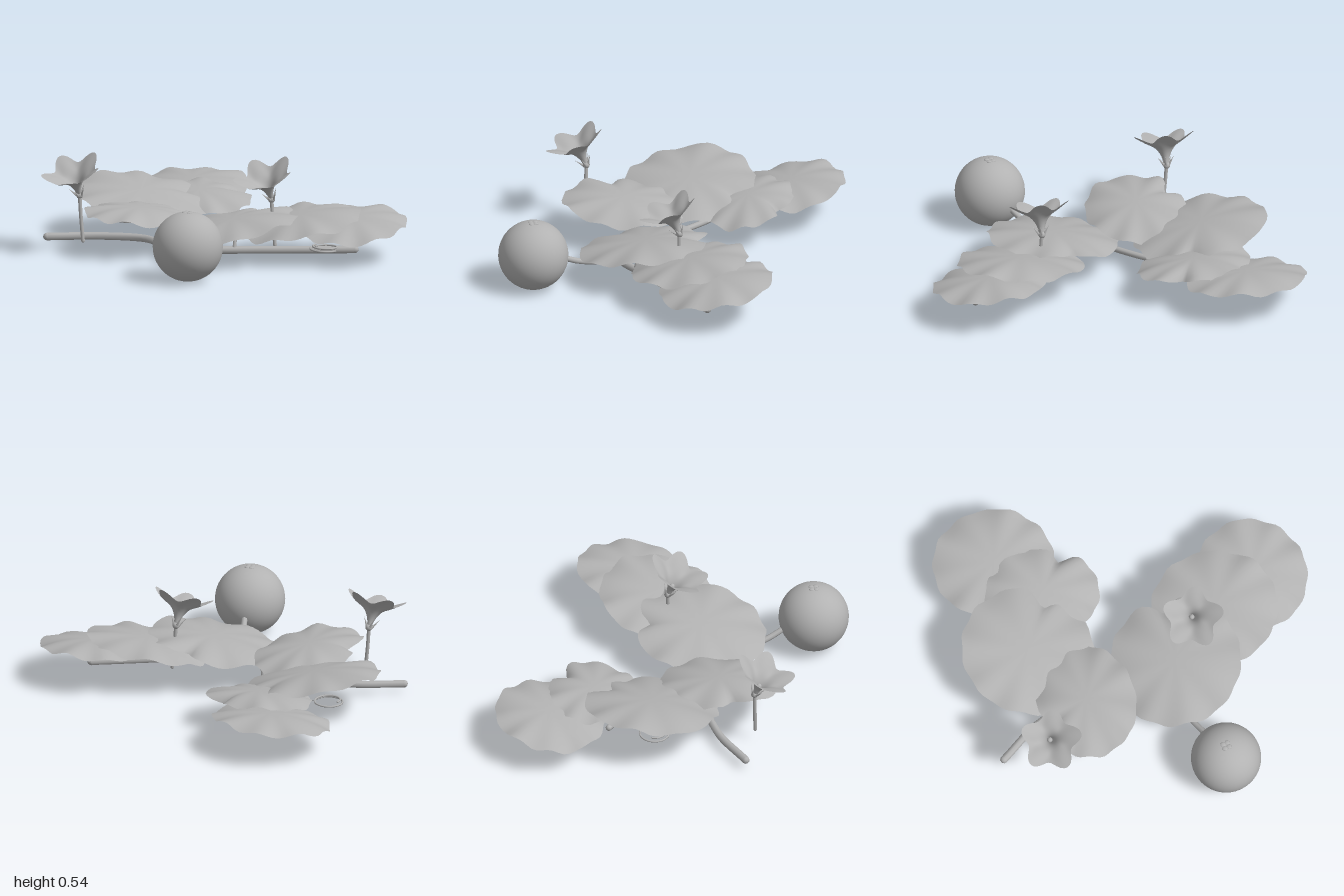
import * as THREE from 'three';

const grey = new THREE.MeshStandardMaterial({ color: 0xb2b2b2, side: THREE.DoubleSide });
grey.name = 'plain grey';

function add(parent, name, geometry, position = [0, 0, 0]) {
  const mesh = new THREE.Mesh(geometry, grey);
  mesh.name = name;
  mesh.position.set(...position);
  parent.add(mesh);
  return mesh;
}

// Smooth tube through points, with closed round ends
function stem(parent, name, points, radius, segments = 24) {
  const group = new THREE.Group();
  group.name = name;
  const pts = points.map((p) => new THREE.Vector3(...p));
  const curve = new THREE.CatmullRomCurve3(pts);
  add(group, name + 'Tube', new THREE.TubeGeometry(curve, segments, radius, 8));
  for (const i of [0, points.length - 1]) {
    add(group, name + 'End', new THREE.SphereGeometry(radius, 8, 6), points[i]);
  }
  parent.add(group);
}

// Rings of equal point counts joined into a smooth closed-around sheet
function sheet(rings, count, pointAt) {
  const positions = [], index = [];
  for (let i = 0; i <= rings; i++) {
    for (let j = 0; j < count; j++) positions.push(...pointAt(i / rings, (j / count) * Math.PI * 2));
  }
  for (let i = 0; i < rings; i++) {
    for (let j = 0; j < count; j++) {
      const k = (j + 1) % count;
      const a = i * count + j, b = i * count + k, c = a + count, d = b + count;
      index.push(a, b, d, a, d, c);
    }
  }
  const g = new THREE.BufferGeometry();
  g.setAttribute('position', new THREE.Float32BufferAttribute(positions, 3));
  g.setIndex(index);
  g.computeVertexNormals();
  return g;
}

// Round leaf: tilted shallow dome, notched, with ripples growing to the rim
function leafGeometry(rx, rz, notch, slopeX, slopeZ, seed) {
  return sheet(8, 64, (t, a) => {
    const d = Math.atan2(Math.sin(a - notch), Math.cos(a - notch));
    const cut = 1 - 0.24 * Math.exp(-((d / 0.17) ** 2)) * t;
    const rim = 1 - t * t * (0.015 + 0.015 * Math.sin(a * 13 + seed));
    const r = t * cut * rim;
    const x = rx * r * Math.cos(a), z = rz * r * Math.sin(a);
    const ripple = 0.011 * Math.sin(a * 9 + seed) + 0.008 * Math.sin(a * 4 + seed * 2);
    const y = slopeX * x + slopeZ * z + 0.022 - 0.048 * t ** 2.5 + ripple * t ** 3;
    return [x, y, z];
  });
}

// Five-lobed trumpet opening along +y
function trumpetGeometry() {
  return sheet(10, 60, (t, a) => {
    const lobe = Math.cos(5 * (a + Math.PI / 2 - 0.2));
    const open = THREE.MathUtils.smoothstep(t, 0.35, 1);
    const r = 0.012 + 0.035 * t + 0.098 * t ** 1.9 * (1 + 0.25 * lobe * open);
    const y = 0.17 * t ** 0.75 + open * (0.02 * lobe - 0.015);
    return [r * Math.cos(a), y, r * Math.sin(a)];
  });
}

function flower(name, x, y, z) {
  const group = new THREE.Group();
  group.name = name;
  group.position.set(x, y, z);
  stem(group, 'flowerStalk', [[0.025, -0.25, 0], [0.01, -0.12, 0], [0, 0.01, 0]], 0.01, 8);
  const head = new THREE.Group();
  head.name = 'flowerHead';
  head.rotation.x = 0.4;
  add(head, 'petals', trumpetGeometry());
  add(head, 'pistil', new THREE.SphereGeometry(0.015, 10, 8), [0, 0.06, 0]);
  add(head, 'flowerBase', new THREE.SphereGeometry(0.02, 10, 8));
  // Thin sepals around the base
  for (let i = 0; i < 5; i++) {
    const pivot = new THREE.Group();
    pivot.name = 'sepal';
    pivot.rotation.y = (i / 5) * Math.PI * 2;
    const blade = add(pivot, 'sepalBlade', new THREE.ConeGeometry(0.008, 0.06, 5), [0.03, 0.025, 0]);
    blade.rotation.z = -0.6;
    head.add(pivot);
  }
  group.add(head);
  return group;
}

// Coiled tendril lying nearly flat
function tendril(parent, cx, cz, radius) {
  const points = [];
  for (let i = 0; i <= 20; i++) {
    const a = (i / 20) * Math.PI * 3;
    const r = radius * (1 - i / 80);
    points.push([cx + r * Math.cos(a), 0.09 + i * 0.001, cz + r * Math.sin(a)]);
  }
  stem(parent, 'tendril', points, 0.005, 60);
}

export function createModel() {
  const model = new THREE.Group();
  model.name = 'vinePlant';

  // Main vine and side branch
  stem(model, 'mainVine', [[-0.77, 0.06, 0.49], [-0.55, 0.065, 0.31], [-0.3, 0.07, 0.22], [-0.08, 0.07, 0.3],
    [0.1, 0.075, 0.29], [0.38, 0.075, 0.06], [0.76, 0.075, -0.28]], 0.021, 48);
  stem(model, 'sideBranch', [[0.03, 0.075, 0.3], [-0.12, 0.08, 0.1], [-0.26, 0.085, -0.06],
    [-0.42, 0.085, -0.19], [-0.6, 0.08, -0.28]], 0.017, 30);

  // Leaves: x, y, z, radii, notch angle, slopes
  const leaves = [
    [-0.67, 0.205, -0.59, 0.335, 0.3, 0.8, -0.01, -0.15],
    [-0.435, 0.21, -0.38, 0.315, 0.25, -1.1, -0.07, -0.13],
    [-0.56, 0.245, -0.05, 0.365, 0.365, -1.1, -0.2, -0.06],
    [-0.29, 0.235, 0.275, 0.275, 0.34, 2.75, -0.08, 0.08],
    [0.22, 0.215, 0.11, 0.36, 0.36, -1.65, 0.12, -0.13],
    [0.47, 0.23, -0.155, 0.35, 0.32, 2.6, 0.08, -0.17],
    [0.695, 0.22, -0.32, 0.31, 0.31, 2.2, -0.05, -0.15],
  ];
  leaves.forEach(([x, y, z, rx, rz, notch, sx, sz], i) => {
    add(model, 'leaf', leafGeometry(rx, rz, notch, sx, sz, i * 1.7), [x, y, z]);
  });
  // Short leaf stalks rising from the vines
  stem(model, 'leafStalk', [[-0.4, 0.09, -0.18], [-0.42, 0.16, -0.16], [-0.46, 0.235, -0.13]], 0.01, 8);
  stem(model, 'leafStalk', [[0.28, 0.08, 0.16], [0.27, 0.14, 0.14], [0.25, 0.22, 0.1]], 0.01, 8);

  // Flowers
  model.add(flower('frontFlower', -0.525, 0.325, 0.505));
  model.add(flower('backFlower', 0.335, 0.325, -0.085));

  // Round fruit with its stalk and a tiny blossom scar
  add(model, 'fruit', new THREE.SphereGeometry(0.19, 40, 28), [0.412, 0.2, 0.7]);
  stem(model, 'fruitStalk', [[0.14, 0.08, 0.27], [0.22, 0.09, 0.36], [0.29, 0.12, 0.47], [0.35, 0.17, 0.57]], 0.016, 16);
  for (let i = 0; i < 4; i++) {
    const a = (i / 4) * Math.PI * 2 + 0.5;
    const scar = add(model, 'blossomScar', new THREE.SphereGeometry(0.016, 8, 6),
      [0.412 + 0.017 * Math.cos(a), 0.387, 0.7 + 0.017 * Math.sin(a)]);
    scar.scale.y = 0.4;
  }

  // Tendrils
  tendril(model, -0.64, -0.03, 0.085);
  tendril(model, 0.68, -0.12, 0.08);

  return model;
}
